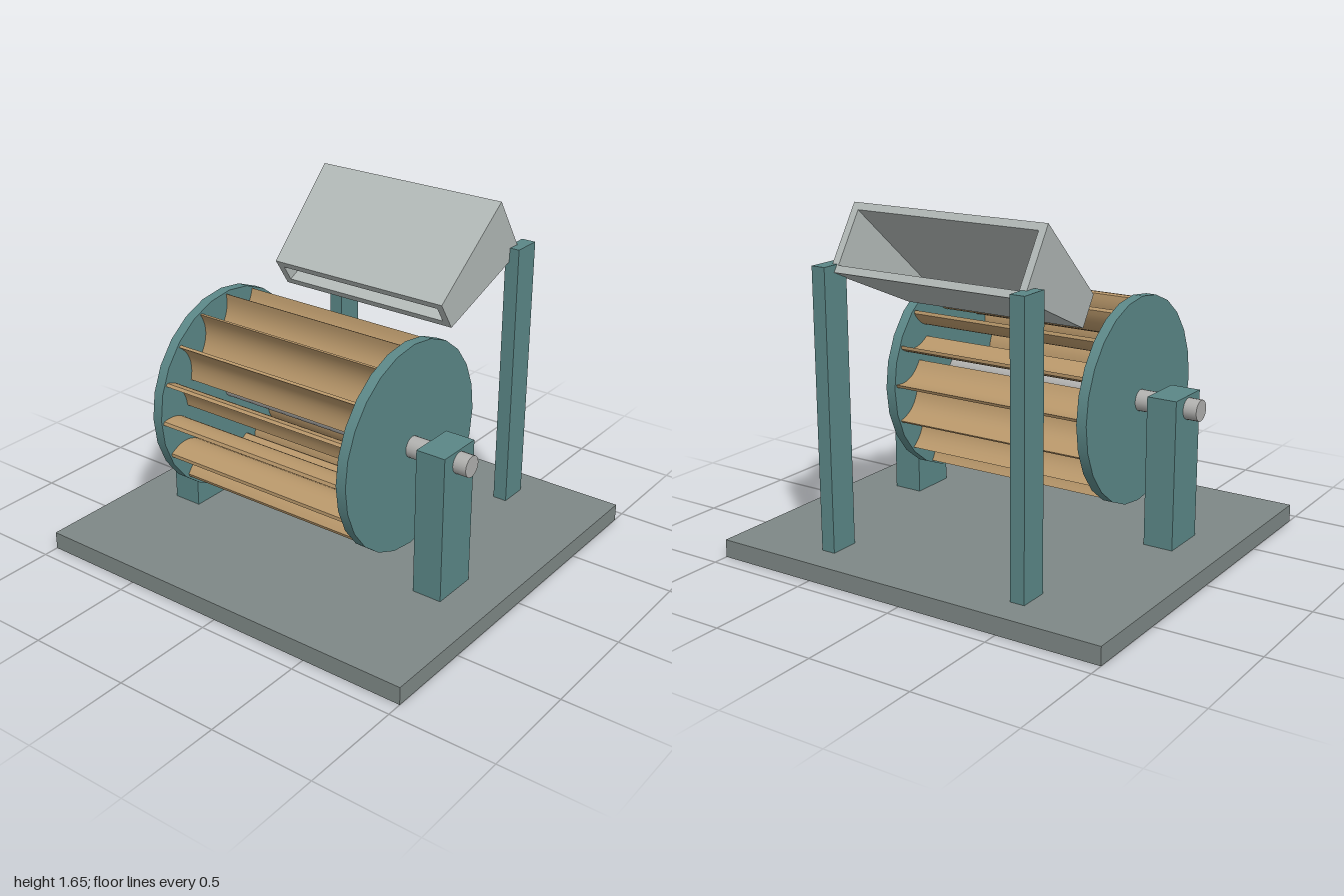
import * as THREE from 'three';
import { toCreasedNormals } from 'three/addons/utils/BufferGeometryUtils.js';

const paint = (name, color) => {
  const m = new THREE.MeshStandardMaterial({ color });
  m.name = name;
  return m;
};

export function createModel() {
  const baseGrey = paint('base grey', 0x7e8886);
  const teal = paint('teal', 0x5b8787);
  const tan = paint('tan', 0xb8976a);
  const steel = paint('shaft steel', 0xb0b0ae);
  const nozzleGrey = paint('nozzle grey', 0xb2b9b7);

  const model = new THREE.Group();
  model.name = 'waterTurbine';
  const add = (parent, name, geometry, material, x = 0, y = 0, z = 0) => {
    const mesh = new THREE.Mesh(geometry, material);
    mesh.name = name;
    mesh.position.set(x, y, z);
    parent.add(mesh);
    return mesh;
  };

  // Base plate
  const baseTop = 0.085;
  add(model, 'base', new THREE.BoxGeometry(2, baseTop, 1.85), baseGrey, 0, baseTop / 2, 0);

  // Bearing supports and tall nozzle posts on both sides
  const upright = (name, w, top, d, x, z) =>
    add(model, name, new THREE.BoxGeometry(w, top - baseTop, d), teal, x, (top + baseTop) / 2, z);
  for (const [side, s] of [['left', 1], ['right', -1]]) {
    upright(side + 'BearingSupport', 0.145, 0.79, 0.23, s * 0.7125, 0.198);
    upright(side + 'NozzlePost', 0.07, 1.397, 0.145, s * 0.51, -0.703);
  }

  // Runner: shaft, two end discs and a ring of curved blades
  const runner = new THREE.Group();
  runner.name = 'runner';
  runner.position.set(0, 0.73, 0.2);
  model.add(runner);

  const shaftGeo = new THREE.CylinderGeometry(0.05, 0.05, 1.7, 20).rotateZ(Math.PI / 2);
  add(runner, 'shaft', shaftGeo, steel);

  const discGeo = new THREE.CylinderGeometry(0.485, 0.485, 0.05, 24).rotateZ(Math.PI / 2);
  add(runner, 'leftDisc', discGeo, teal, 0.518);
  add(runner, 'rightDisc', discGeo, teal, -0.518);

  // Blade section: an arc of even thickness from inner edge to tip
  const polar = (r, deg) => new THREE.Vector2(r, 0).rotateAround(new THREE.Vector2(), THREE.MathUtils.degToRad(deg));
  const inner = polar(0.305, -16.5);
  const tip = polar(0.47, 0);
  const chord = tip.clone().sub(inner);
  const normal = new THREE.Vector2(-chord.y, chord.x).normalize();
  const steps = 10;
  const side = (offset) => Array.from({ length: steps + 1 }, (_, i) => {
    const t = i / steps;
    const bulge = 0.035 * 4 * t * (1 - t) + offset;
    return inner.clone().addScaledVector(chord, t).addScaledVector(normal, bulge);
  });
  const section = new THREE.Shape([...side(-0.008), ...side(0.008).reverse()]);
  const length = 0.99;
  // Section x points forward (+z) and section y points up
  const bladeGeo = toCreasedNormals(
    new THREE.ExtrudeGeometry(section, { depth: length, bevelEnabled: false }), 0.6
  ).translate(0, 0, -length / 2).rotateY(-Math.PI / 2);

  const bladeCount = 16;
  for (let i = 0; i < bladeCount; i++) {
    const angle = (i / bladeCount) * Math.PI * 2 - 0.03;
    add(runner, 'blade' + (i + 1), bladeGeo, tan).rotation.x = -angle;
  }

  // Nozzle: tapered rectangular duct, open at both ends
  const ring = (w, h, z) => [[-w, -h, z], [w, -h, z], [w, h, z], [-w, h, z]];
  const wall = 0.035;
  const rings = [
    ring(0.5, 0.167, -0.277),
    ring(0.47, 0.079, 0.277),
    ring(0.47 - wall, 0.079 - wall, 0.277),
    ring(0.5 - wall, 0.167 - wall, -0.277),
  ];
  const points = [];
  for (let i = 0; i < 4; i++) {
    const a = rings[i], b = rings[(i + 1) % 4];
    for (let j = 0; j < 4; j++) {
      const k = (j + 1) % 4;
      points.push(...a[j], ...a[k], ...b[k], ...a[j], ...b[k], ...b[j]);
    }
  }
  const nozzleGeo = new THREE.BufferGeometry();
  nozzleGeo.setAttribute('position', new THREE.Float32BufferAttribute(points, 3));
  nozzleGeo.computeVertexNormals();
  add(model, 'nozzle', nozzleGeo, nozzleGrey, 0, 1.355, -0.388).rotation.x = 0.571;

  return model;
}
